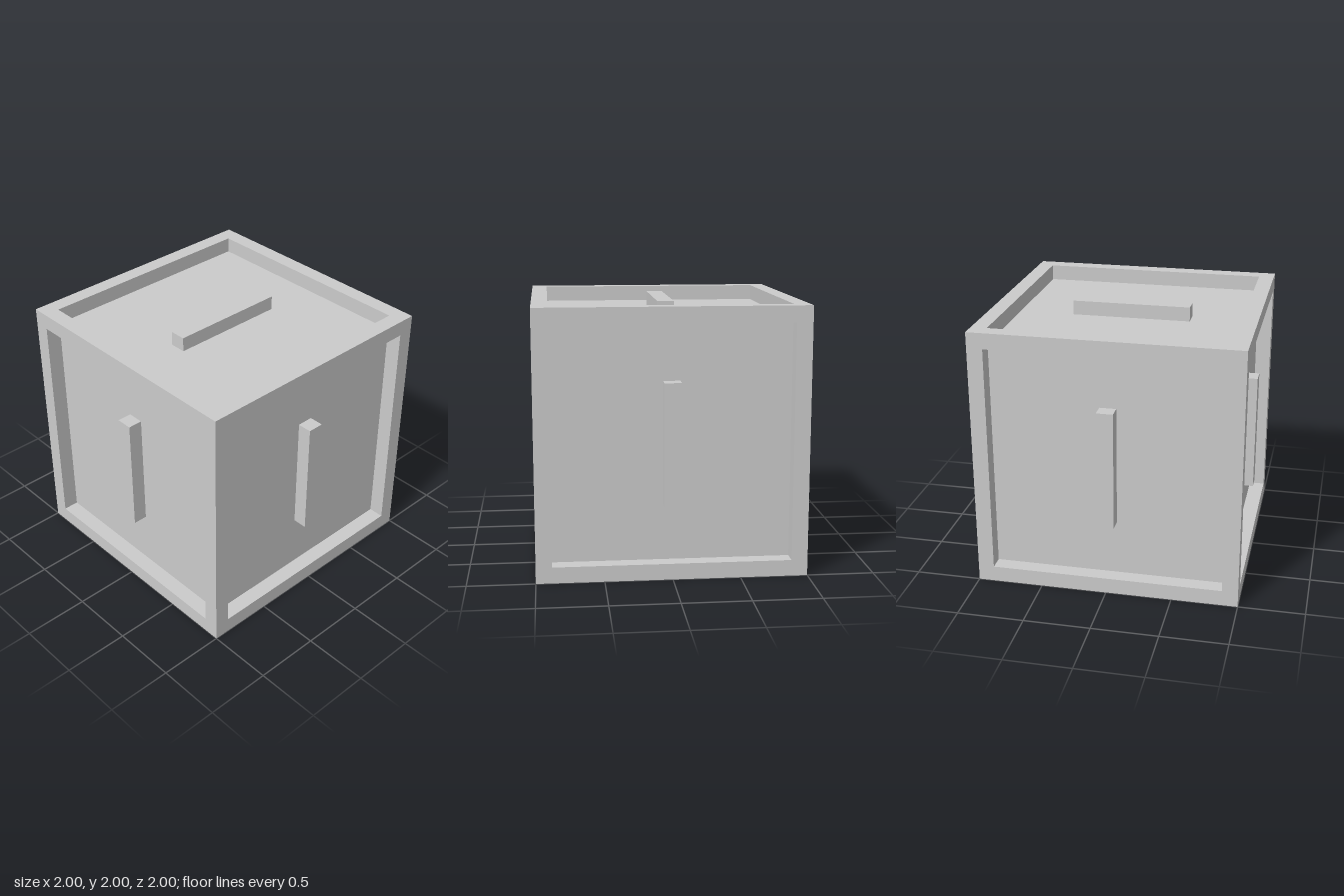
import * as THREE from 'three';

const SIZE = 2;          // outer edge of the cube
const BEAM = 0.12;       // thickness of the frame beams
const INNER = SIZE - 2 * BEAM;
const BAR = { width: 0.125, length: 0.91, depth: 0.11 };

export function createModel() {
  const model = new THREE.Group();
  model.name = 'framedCrate';
  const material = new THREE.MeshStandardMaterial({ color: 0xcccccc, flatShading: true });

  const cube = new THREE.Group();
  cube.name = 'cube';
  cube.position.y = SIZE / 2;
  model.add(cube);

  const addBox = (parent, name, size, position) => {
    const mesh = new THREE.Mesh(new THREE.BoxGeometry(...size), material);
    mesh.name = name;
    mesh.position.set(...position);
    parent.add(mesh);
  };

  // Inner block whose sides form the recessed panels
  addBox(cube, 'core', [INNER, INNER, INNER], [0, 0, 0]);

  // Twelve beams along the edges: full-height posts, rails fitted between them
  const frame = new THREE.Group();
  frame.name = 'frame';
  cube.add(frame);
  const c = (SIZE - BEAM) / 2;
  for (const a of [-c, c]) {
    for (const b of [-c, c]) {
      addBox(frame, 'post', [BEAM, SIZE, BEAM], [a, 0, b]);
      addBox(frame, 'railAcross', [INNER, BEAM, BEAM], [0, a, b]);
      addBox(frame, 'railDeep', [BEAM, BEAM, INNER], [a, b, 0]);
    }
  }

  // One raised bar in the middle of each panel
  const { width, length, depth } = BAR;
  const d = INNER / 2 + depth / 2;
  for (const s of [-1, 1]) {
    addBox(cube, s > 0 ? 'frontBar' : 'backBar', [width, length, depth], [0, 0, s * d]);
    addBox(cube, s > 0 ? 'leftBar' : 'rightBar', [depth, length, width], [s * d, 0, 0]);
    addBox(cube, s > 0 ? 'topBar' : 'bottomBar', [width, depth, length], [0, s * d, 0]);
  }

  return model;
}
